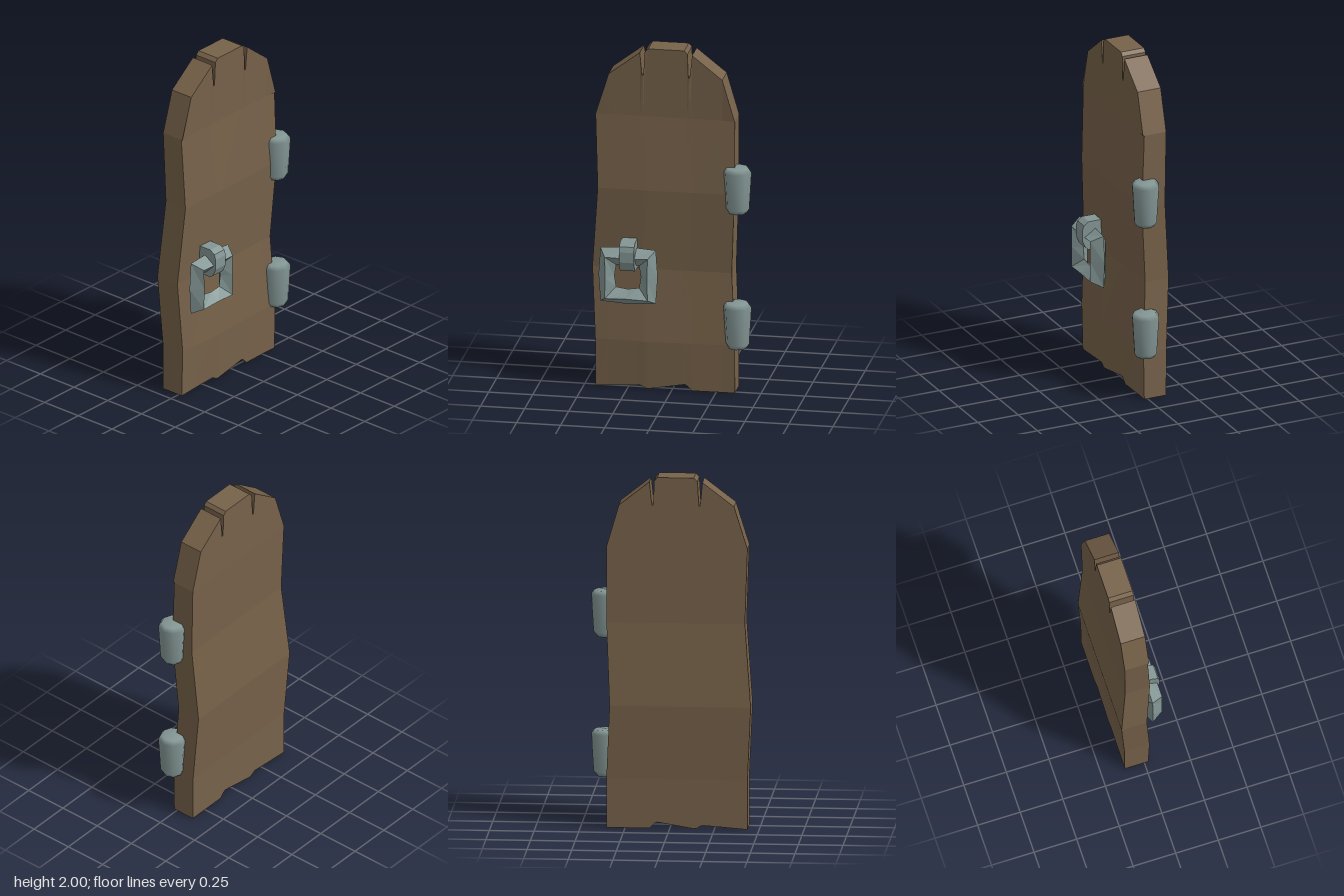
import * as THREE from 'three';

const wood = new THREE.MeshStandardMaterial({ color: 0x77624a });
wood.name = 'wood';
const iron = new THREE.MeshStandardMaterial({ color: 0x839694 });
iron.name = 'iron';

// Flat-faced geometry from a list of quads, corners counter-clockwise
function fromQuads(quads) {
  const pos = [];
  for (const [a, b, c, d] of quads) pos.push(...a, ...b, ...c, ...a, ...c, ...d);
  const g = new THREE.BufferGeometry();
  g.setAttribute('position', new THREE.Float32BufferAttribute(pos, 3));
  g.computeVertexNormals();
  return g;
}

function add(parent, name, geometry, material) {
  const mesh = new THREE.Mesh(geometry, material);
  mesh.name = name;
  parent.add(mesh);
  return mesh;
}

// Warped plank door: columns follow the arched, split top and the chipped foot
function doorGeometry() {
  const columns = [ // x, foot, top
    [-0.435, 0, 1.6], [-0.36, 0.006, 1.84], [-0.183, 0.02, 1.975], [-0.17, 0.014, 1.84],
    [-0.163, 0.01, 1.84], [-0.155, 0.004, 1.98], [-0.135, 0, 2], [0.07, 0.035, 2],
    [0.087, 0.028, 1.98], [0.093, 0.02, 1.84], [0.1, 0.014, 1.84], [0.114, 0, 1.975],
    [0.285, 0, 1.84], [0.355, 0, 1.6],
  ];
  const rows = [ // y, left shift, right shift, front z, back z, front bulge
    [0, 0, 0, 0.02, -0.115, 0.01],
    [0.28, 0, 0, 0.025, -0.117, 0.018],
    [0.7, -0.02, -0.02, 0.005, -0.14, 0.012],
    [1.17, 0.015, 0, 0.035, -0.108, 0.008],
    [1.6, 0, 0, 0.02, -0.115, 0],
    [2, 0, 0, 0.028, -0.115, 0],
  ];
  const last = rows.length - 1, end = columns.length - 1;
  const point = (i, j, back) => {
    const [x, foot, top] = columns[i];
    const [y, left, right, front, rear, bulge] = rows[j];
    const t = (x + 0.435) / 0.79;
    const height = j === 0 ? foot : j === last ? top : y;
    const z = back ? rear : front + bulge * Math.max(0, 1 - Math.abs(x + 0.15) / 0.4);
    return [x + left * (1 - t) + right * t, height, z];
  };
  const F = (i, j) => point(i, j, false), B = (i, j) => point(i, j, true);
  const quads = [];
  for (let i = 0; i < end; i++) {
    for (let j = 0; j < last; j++) {
      quads.push([F(i, j), F(i + 1, j), F(i + 1, j + 1), F(i, j + 1)]);
      quads.push([B(i, j), B(i, j + 1), B(i + 1, j + 1), B(i + 1, j)]);
    }
    quads.push([F(i, last), F(i + 1, last), B(i + 1, last), B(i, last)]);
    quads.push([F(i, 0), B(i, 0), B(i + 1, 0), F(i + 1, 0)]);
  }
  for (let j = 0; j < last; j++) {
    quads.push([F(end, j), B(end, j), B(end, j + 1), F(end, j + 1)]);
    quads.push([F(0, j), F(0, j + 1), B(0, j + 1), B(0, j)]);
  }
  return fromQuads(quads);
}

// Square pull ring: a diamond section carried around eight stations
function ringGeometry() {
  const stations = [[1, 0], [1, 1], [0, 1], [-1, 1], [-1, 0], [-1, -1], [0, -1], [1, -1]];
  const section = [ // corner half-width, middle half-width, z
    [0.157, 0.168, 0.06], [0.122, 0.118, 0.127], [0.065, 0.075, 0.075], [0.115, 0.115, 0.03],
  ];
  const at = (s, k) => {
    const [sx, sy] = stations[s % 8];
    const [corner, middle, z] = section[k % 4];
    const r = sx && sy ? corner : middle;
    return [sx * r, sy * r, z];
  };
  const quads = [];
  for (let s = 0; s < 8; s++)
    for (let k = 0; k < 4; k++)
      quads.push([at(s, k), at(s + 1, k), at(s + 1, k + 1), at(s, k + 1)]);
  return fromQuads(quads);
}

// Staple side profile (z, y) extruded across x
function stapleGeometry() {
  const profile = [[0, 0.88], [0.1, 0.88], [0.13, 0.86], [0.14, 0.83], [0.14, 0.77], [0.12, 0.725], [0.1, 0.71], [0, 0.71]];
  const shape = new THREE.Shape(profile.map(([z, y]) => new THREE.Vector2(-z, y)));
  const g = new THREE.ExtrudeGeometry(shape, { depth: 0.085, bevelEnabled: false });
  return g.rotateY(Math.PI / 2).translate(-0.281, 0, 0);
}

export function createModel() {
  const model = new THREE.Group();
  model.name = 'door';
  add(model, 'doorPanel', doorGeometry(), wood);

  // Pull handle
  const handle = new THREE.Group();
  handle.name = 'handle';
  model.add(handle);
  add(handle, 'pullRing', ringGeometry(), iron).position.set(-0.243, 0.67, 0);
  add(handle, 'staple', stapleGeometry(), iron);

  // Tapered hinge barrels
  const barrel = [[0, 0], [0.052, 0], [0.067, 0.025], [0.08, 0.24], [0.062, 0.265], [0, 0.265]]
    .map(([r, y]) => new THREE.Vector2(r, y));
  const hinge = new THREE.LatheGeometry(barrel, 8);
  add(model, 'lowerHinge', hinge, iron).position.set(0.37, 0.27, 0.02);
  add(model, 'upperHinge', hinge, iron).position.set(0.37, 1.065, 0.02);
  return model;
}
